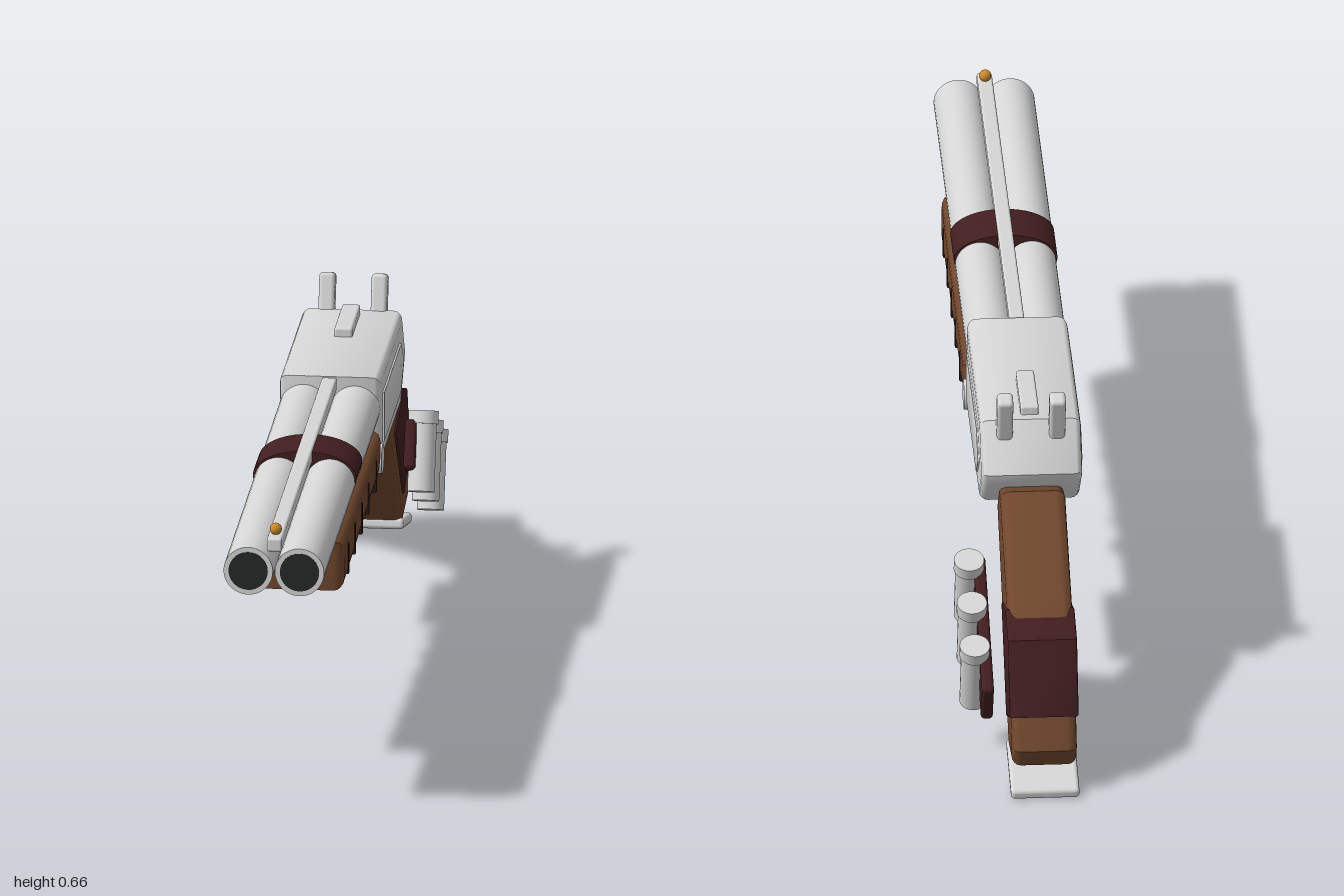
import * as THREE from 'three';
import { toCreasedNormals } from 'three/addons/utils/BufferGeometryUtils.js';
import { RoundedBoxGeometry } from 'three/addons/geometries/RoundedBoxGeometry.js';

const CX = -0.027; // centre plane of the gun; the shell carrier hangs off its left side

function makeMaterial(name, color) {
  const m = new THREE.MeshStandardMaterial({ color });
  m.name = name;
  return m;
}

export function createModel() {
  const steel = makeMaterial('lightSteel', 0xd6d6d6);
  const wood = makeMaterial('wood', 0x70472d);
  const leather = makeMaterial('darkLeather', 0x421e20);
  const black = makeMaterial('boreBlack', 0x262929);
  const groove = makeMaterial('grooveDark', 0x241a17);
  const gold = makeMaterial('gold', 0xcc8a2a);

  const model = new THREE.Group();
  model.name = 'shotgun';

  function add(name, geometry, material, x = 0, y = 0, z = 0, tilt = 0) {
    const mesh = new THREE.Mesh(geometry, material);
    mesh.name = name;
    mesh.position.set(x, y, z);
    mesh.rotation.x = tilt;
    model.add(mesh);
    return mesh;
  }

  // Side profile given as [z, y] points, extruded across x with rounded edges
  function profile(points, width, bevel) {
    const shape = new THREE.Shape(points.map(([z, y]) => new THREE.Vector2(z, y)));
    const depth = width - 2 * bevel;
    const geometry = new THREE.ExtrudeGeometry(shape, {
      depth, bevelEnabled: bevel > 0, bevelSize: bevel, bevelThickness: bevel,
      bevelOffset: -bevel, bevelSegments: 4,
    });
    geometry.translate(0, 0, -depth / 2);
    geometry.rotateY(-Math.PI / 2);
    return toCreasedNormals(geometry, 0.6);
  }

  const box = (w, h, d, r = 0.005) => new RoundedBoxGeometry(w, h, d, 3, r);
  const rodZ = (r, length) => new THREE.CylinderGeometry(r, r, length, 40).rotateX(Math.PI / 2);

  // Twin barrels with dark bores
  for (const [side, dx] of [['right', -0.051], ['left', 0.051]]) {
    add(side + 'Barrel', rodZ(0.049, 1.079), steel, CX + dx, 0.53, 0.4595);
    add(side + 'Bore', rodZ(0.039, 0.004), black, CX + dx, 0.53, 0.998);
  }

  // Sighting rib, bead and leather barrel band
  add('sightRib', box(0.03, 0.028, 1.06), steel, CX, 0.583, 0.464);
  add('beadSight', new THREE.SphereGeometry(0.012, 20, 14), gold, CX, 0.607, 0.96);
  const band = add('barrelBand', rodZ(1, 0.115), leather, CX, 0.541, 0.352);
  band.scale.set(0.103, 0.052, 1);

  // Receiver with raised side panels and hinge pin
  add('receiver', profile([
    [-0.07, 0.597], [-0.51, 0.597], [-0.572, 0.505], [-0.562, 0.48], [-0.48, 0.405], [-0.07, 0.405],
  ], 0.2, 0.018), steel, CX);
  const panel = profile([
    [-0.125, 0.55], [-0.45, 0.55], [-0.5, 0.5], [-0.44, 0.448], [-0.125, 0.448],
  ], 0.008, 0.002);
  for (const [side, dx] of [['right', -0.1], ['left', 0.1]]) {
    add(side + 'SidePanel', panel, steel, CX + dx, 0, 0);
  }
  add('hingePin', new THREE.CylinderGeometry(0.03, 0.03, 0.212, 28).rotateZ(Math.PI / 2),
    steel, CX, 0.43, -0.07);

  // Top lever and the pair of hammers
  add('topLever', box(0.036, 0.026, 0.16), steel, CX, 0.602, -0.41);
  for (const [side, dx] of [['right', -0.052], ['left', 0.052]]) {
    add(side + 'Hammer', box(0.032, 0.11, 0.037, 0.008), steel, CX + dx, 0.61, -0.527, -0.3);
  }

  // Forend with grip grooves
  add('forend', profile([
    [0.675, 0.492], [0.675, 0.391], [-0.02, 0.41], [-0.055, 0.435], [-0.055, 0.492],
  ], 0.21, 0.02), wood, CX);
  for (const z of [0.585, 0.455, 0.325, 0.195, 0.05]) {
    add('forendGroove', box(0.214, 0.065, 0.012, 0.003), groove, CX, 0.431, z);
  }

  // Trigger guard and two triggers
  add('guardFront', box(0.052, 0.143, 0.014), steel, CX, 0.323, -0.232, -0.14);
  add('guardBottom', box(0.052, 0.016, 0.275), steel, CX, 0.263, -0.355);
  for (const [dx, z] of [[-0.018, -0.34], [0.02, -0.403]]) {
    add('trigger', box(0.022, 0.076, 0.017), steel, CX + dx, 0.338, z, -0.16);
  }

  // Pistol grip, leather wrap and butt plate
  add('grip', profile([
    [-0.475, 0.4], [-0.53, 0.462], [-0.59, 0.478], [-0.81, 0.348], [-0.868, 0.315], [-0.935, 0.2],
    [-0.982, 0.1], [-0.965, 0.062], [-0.855, 0.042], [-0.79, 0.105], [-0.7, 0.2],
  ], 0.129, 0.018), wood, CX);
  add('gripWrap', profile([
    [-0.69, 0.285], [-0.82, 0.335], [-0.908, 0.31], [-0.962, 0.166], [-0.845, 0.11],
  ], 0.137, 0.005), leather, CX);
  add('buttPlate', box(0.136, 0.022, 0.167, 0.008), steel, CX, 0.031, -0.918, -0.23);

  // Shell carrier with three spare shells
  add('shellCarrier', box(0.024, 0.1, 0.33, 0.008), leather, 0.08, 0.225, -0.725, -0.475);
  for (let i = 0; i < 3; i++) {
    const shell = new THREE.Group();
    shell.name = 'spareShell';
    const body = new THREE.Mesh(new THREE.CylinderGeometry(0.027, 0.027, 0.155, 28), steel);
    body.name = 'shellBody';
    const cap = new THREE.Mesh(new THREE.CylinderGeometry(0.03, 0.03, 0.026, 28), steel);
    cap.name = 'shellCap';
    cap.position.y = 0.07;
    shell.add(body, cap);
    shell.position.set(0.102, 0.274 - 0.048 * i, -0.604 - 0.0925 * i);
    shell.rotation.x = -0.36;
    model.add(shell);
  }

  return model;
}
